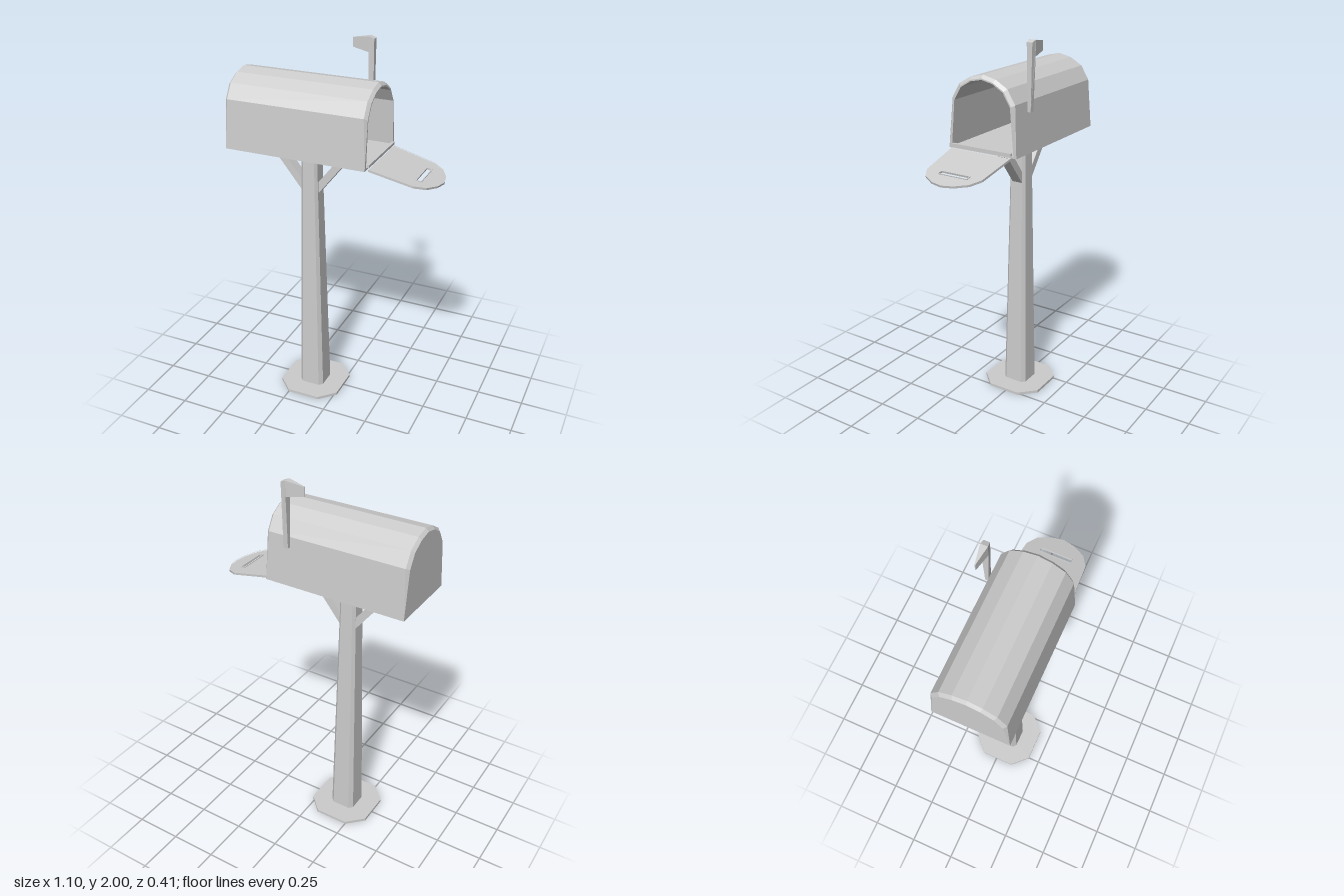
import * as THREE from 'three';

const CZ = 0.007;      // centre line of the box in z
const POST_X = -0.16;  // centre line of the post in x

const mirrorProfile = (half) => [...half, ...half.slice(0, -1).reverse().map(([z, y]) => [-z, y])];

// Joins equal-length cross-sections (loops of [x, y, z]) and caps both ends
function loft(sections) {
  const n = sections[0].length, idx = [];
  for (let s = 0; s < sections.length - 1; s++) {
    for (let j = 0; j < n; j++) {
      const k = (j + 1) % n, a = s * n + j, b = s * n + k;
      idx.push(a, a + n, b + n, a, b + n, b);
    }
  }
  const last = (sections.length - 1) * n;
  for (let j = 1; j < n - 1; j++) {
    idx.push(0, j, j + 1, last, last + j + 1, last + j);
  }
  const g = new THREE.BufferGeometry();
  g.setAttribute('position', new THREE.Float32BufferAttribute(sections.flat(2), 3));
  g.setIndex(idx);
  const flat = g.toNonIndexed();
  flat.computeVertexNormals();
  return flat;
}

const shapeOf = (pts) => new THREE.Shape(pts.map(([x, y]) => new THREE.Vector2(x, y)));
const holeOf = (pts) => new THREE.Path(pts.map(([x, y]) => new THREE.Vector2(x, y)));
const extrude = (shape, depth) => new THREE.ExtrudeGeometry(shape, { depth, bevelEnabled: false });
const rect = (x0, x1, y) => [[x0, -y], [x1, -y], [x1, y], [x0, y]];

// Moves every vertex by a rule, then refreshes the normals
function reshape(g, rule) {
  const p = g.attributes.position, v = new THREE.Vector3();
  for (let i = 0; i < p.count; i++) {
    v.fromBufferAttribute(p, i);
    rule(v);
    p.setXYZ(i, v.x, v.y, v.z);
  }
  g.computeVertexNormals();
  return g;
}

// Upright square prism with cut corners, narrowing to topScale
function cutCornerPrism(h, f, height, topScale) {
  const shape = shapeOf([[h, -f], [h, f], [f, h], [-f, h], [-h, f], [-h, -f], [-f, -h], [f, -h]]);
  const g = extrude(shape, height).rotateX(-Math.PI / 2);
  return reshape(g, (v) => {
    const s = 1 + (topScale - 1) * v.y / height;
    v.x *= s;
    v.z *= s;
  });
}

export function createModel() {
  const model = new THREE.Group();
  const grey = new THREE.MeshStandardMaterial({ color: 0xcccccc });
  const add = (name, geometry, x = 0, y = 0, z = 0, parent = model) => {
    const m = new THREE.Mesh(geometry, grey);
    m.name = name;
    m.position.set(x, y, z);
    parent.add(m);
    return m;
  };

  // Foot plate and tapered post
  add('basePlate', cutCornerPrism(0.175, 0.092, 0.015, 1), POST_X, 0, 0.01);
  add('post', cutCornerPrism(0.07, 0.05, 1.45, 0.61), POST_X, 0.01, 0.011);

  // Diagonal braces on both sides of the post
  for (const side of [-1, 1]) {
    const pts = [[0.02, 1.182], [0.24, 1.46], [0.19, 1.46], [0.02, 1.245]].map(([x, y]) => [side * x, y]);
    add(side < 0 ? 'rightBrace' : 'leftBrace', extrude(shapeOf(pts), 0.058), POST_X, 0, CZ - 0.029);
  }

  // Hollow arched box with bevelled rims at both ends
  const full = mirrorProfile([[0.198, 1.455], [0.181, 1.71], [0.137, 1.782], [0.071, 1.82], [0, 1.836]]);
  const rim = mirrorProfile([[0.198, 1.455], [0.167, 1.702], [0.126, 1.77], [0.065, 1.806], [0, 1.82]]);
  const inner = mirrorProfile([[0.181, 1.465], [0.161, 1.699], [0.121, 1.765], [0.062, 1.8], [0, 1.813]]);
  const at = (profile, x, inset = 0) =>
    profile.map(([z, y]) => [x - (y > 1.5 ? inset : 0), y, z + CZ]);
  add('mailboxBody', loft([
    at(rim, -0.55), at(full, -0.55, -0.015), at(full, 0.21, 0.015),
    at(rim, 0.21), at(inner, 0.21), at(inner, -0.535),
  ]));

  // Hinge bar along the lower edge of the opening
  add('hingeBar', new THREE.BoxGeometry(0.014, 0.014, 0.345), 0.215, 1.474, CZ);

  // Open door: thin panel, raised rim and framed slot
  const door = new THREE.Group();
  door.name = 'door';
  door.position.set(0.217, 1.449, CZ);
  door.rotation.z = -0.23;
  model.add(door);
  const half = [[0, 0.175], [0.229, 0.16], [0.286, 0.126], [0.323, 0.063], [0.337, 0]];
  const outline = [...half, ...half.slice(0, -1).reverse().map(([x, y]) => [x, -y])];
  const inset = outline.map(([x, y]) => [0.006 + x * 0.965, y * 0.96]);
  const slot = rect(0.218, 0.24, 0.081);
  const layer = (name, outer, hole, depth) => {
    const s = shapeOf(outer);
    s.holes.push(holeOf(hole));
    add(name, extrude(s, depth).rotateX(-Math.PI / 2), 0, 0, 0, door);
  };
  layer('doorPanel', outline, slot, 0.006);
  layer('doorRim', outline, inset, 0.011);
  layer('slotFrame', rect(0.214, 0.244, 0.085), slot, 0.01);

  // Raised signal flag, thinning toward its tip and foot
  const flag = extrude(shapeOf([
    [0.07, 1.66], [0.095, 1.66], [0.097, 1.99], [0.07, 2], [-0.022, 1.985], [-0.022, 1.937], [0.07, 1.922],
  ]), 0.036).translate(0, 0, -0.018);
  reshape(flag, (v) => {
    if (v.x < 0) v.z *= 0.12;
    else if (v.y < 1.7) v.z *= 0.5;
    else if (v.x > 0.09) v.z *= 0.85;
  });
  add('signalFlag', flag, 0, 0, -0.189);

  return model;
}
